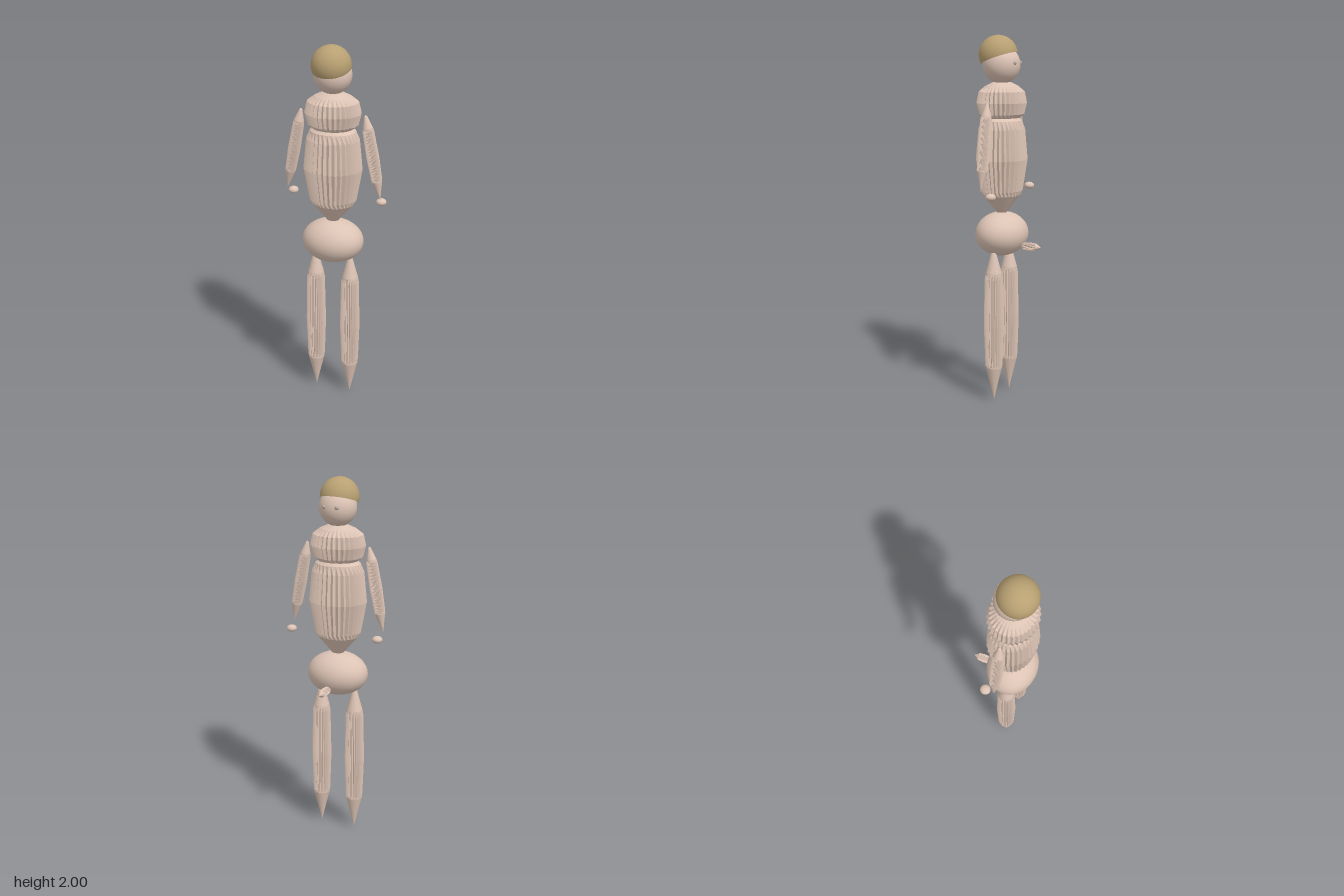
import * as THREE from 'three';

const skin = new THREE.MeshStandardMaterial({ color: 0xdcc3b4 });
skin.name = 'skin';
const hairTan = new THREE.MeshStandardMaterial({ color: 0xb8a072 });
hairTan.name = 'hairTan';
const eyeGrey = new THREE.MeshStandardMaterial({ color: 0xb5a9a2 });
eyeGrey.name = 'eyeGrey';

const BODY_Z = 0.045;
const RIDGES = 32;

// Turned body with vertical ridges. Rows run upward: [y, radius, grooveDepth].
function fluted(rows, depthScale = 1) {
  const lathe = new THREE.LatheGeometry(rows.map(([y, r]) => new THREE.Vector2(r, y)), RIDGES * 2);
  const pos = lathe.attributes.position;
  for (let i = 0; i < pos.count; i++) {
    const column = Math.floor(i / rows.length);
    if (column % 2 === 1) {
      const k = 1 - rows[i % rows.length][2];
      pos.setX(i, pos.getX(i) * k);
      pos.setZ(i, pos.getZ(i) * k);
    }
  }
  lathe.scale(1, 1, depthScale);
  const flat = lathe.toNonIndexed();
  flat.computeVertexNormals();
  return flat;
}

// Pointed limb, 1 unit tall and 1 unit in radius, centred on the origin
const limbRows = [
  [-0.5, 0, 0], [-0.28, 0.82, 0], [-0.25, 0.87, 0.09], [0, 1, 0.1],
  [0.31, 0.9, 0.09], [0.35, 0.8, 0], [0.48, 0.25, 0], [0.5, 0, 0],
];

function createLimb(name, from, to, radius) {
  const axis = to.clone().sub(from);
  const limb = new THREE.Mesh(fluted(limbRows), skin);
  limb.name = name;
  limb.scale.set(radius, axis.length(), radius);
  limb.position.copy(from).addScaledVector(axis, 0.5);
  limb.quaternion.setFromUnitVectors(new THREE.Vector3(0, 1, 0), axis.normalize());
  return limb;
}

function createBall(name, material, radii, position) {
  const ball = new THREE.Mesh(new THREE.SphereGeometry(1, 40, 28), material);
  ball.name = name;
  ball.scale.set(...radii);
  ball.position.set(...position);
  return ball;
}

export function createModel() {
  const group = new THREE.Group();
  group.name = 'figure';

  // Head with a tilted cap of hair
  group.add(createBall('head', skin, [0.101, 0.101, 0.101], [0, 1.842, BODY_Z]));
  const hair = new THREE.Mesh(
    new THREE.SphereGeometry(0.105, 48, 28, 0, Math.PI * 2, 0, Math.PI * 0.56), hairTan);
  hair.name = 'hair';
  hair.position.set(0, 1.895, 0.065);
  hair.rotation.x = 0.33;
  group.add(hair);

  // Ridged chest
  const chest = new THREE.Mesh(fluted([
    [1.56, 0, 0], [1.56, 0.11, 0], [1.58, 0.137, 0.08], [1.64, 0.153, 0.09],
    [1.7, 0.14, 0.08], [1.73, 0.1, 0.03], [1.75, 0.055, 0], [1.75, 0, 0],
  ], 0.87), skin);
  chest.name = 'chest';
  chest.position.z = BODY_Z;
  group.add(chest);

  // Ridged torso narrowing to a point at the waist
  const torso = new THREE.Mesh(fluted([
    [1.03, 0.02, 0], [1.14, 0.115, 0], [1.165, 0.13, 0.08], [1.335, 0.161, 0.09],
    [1.5, 0.145, 0.08], [1.545, 0.125, 0], [1.57, 0.09, 0], [1.57, 0, 0],
  ], 0.85), skin);
  torso.name = 'torso';
  torso.position.z = BODY_Z;
  group.add(torso);

  // Oval pelvis and the short peg behind it
  group.add(createBall('pelvis', skin, [0.171, 0.121, 0.141], [0, 0.926, BODY_Z]));
  group.add(createLimb('peg',
    new THREE.Vector3(0, 0.863, -0.187), new THREE.Vector3(0, 0.863, -0.065), 0.023));

  // Limbs, hands and eyes, mirrored
  for (const [side, s] of [['left', 1], ['right', -1]]) {
    group.add(createLimb(side + 'Leg',
      new THREE.Vector3(s * 0.102, 0, BODY_Z + 0.003),
      new THREE.Vector3(s * 0.102, 0.85, BODY_Z + 0.003), 0.055));
    group.add(createLimb(side + 'Arm',
      new THREE.Vector3(s * 0.269, 1.19, BODY_Z - 0.002),
      new THREE.Vector3(s * 0.181, 1.648, BODY_Z), 0.034));
    group.add(createBall(side + 'Hand', skin, [0.028, 0.02, 0.028], [s * 0.257, 1.162, -0.008]));
    group.add(createBall(side + 'Eye', eyeGrey, [0.011, 0.011, 0.011], [s * 0.036, 1.853, -0.046]));
  }

  return group;
}
